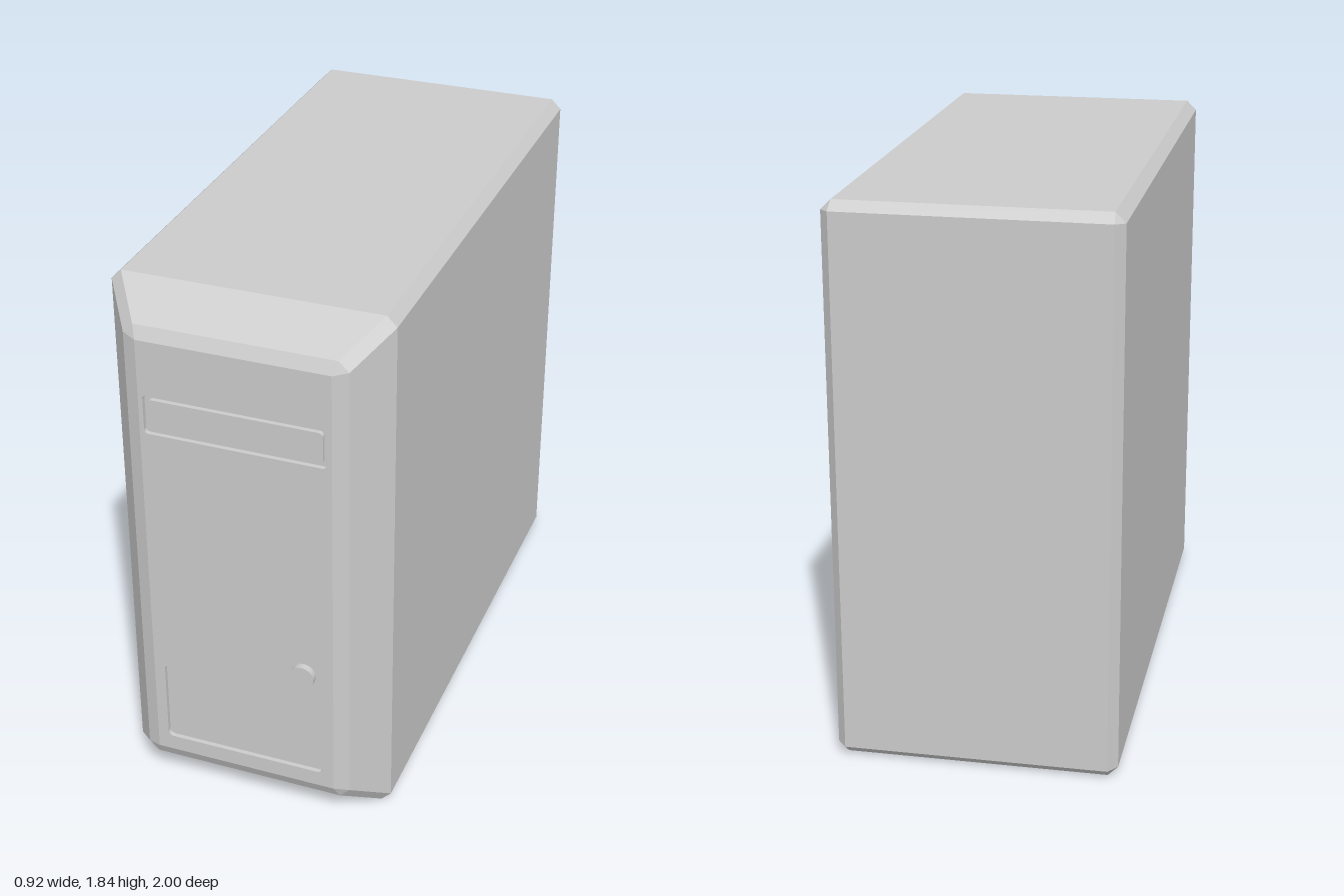
import * as THREE from 'three';

const MID = 0.92; // half of the total height

// Rectangle centred on the case axis with cut corners, anticlockwise from the front
function ring(hw, hh, cut, z) {
  return [
    [hw, -hh + cut], [hw, hh - cut], [hw - cut, hh], [-hw + cut, hh],
    [-hw, hh - cut], [-hw, -hh + cut], [-hw + cut, -hh], [hw - cut, -hh],
  ].map(([x, y]) => new THREE.Vector3(x, y + MID, z));
}

// Joins the rings with faceted sides and closes the first one
function loft(rings) {
  const pos = [];
  const tri = (a, b, c) => {
    const area = b.clone().sub(a).cross(c.clone().sub(a)).length();
    if (area > 1e-7) for (const p of [a, b, c]) pos.push(p.x, p.y, p.z);
  };
  for (let i = 0; i < rings.length - 1; i++) {
    for (let j = 0; j < 8; j++) {
      const k = (j + 1) % 8;
      tri(rings[i][j], rings[i][k], rings[i + 1][k]);
      tri(rings[i][j], rings[i + 1][k], rings[i + 1][j]);
    }
  }
  for (let j = 1; j < 7; j++) tri(rings[0][0], rings[0][j + 1], rings[0][j]);
  const geo = new THREE.BufferGeometry();
  geo.setAttribute('position', new THREE.Float32BufferAttribute(pos, 3));
  geo.computeVertexNormals();
  return geo;
}

// Traces a rounded rectangle into a Shape or Path
function roundRect(path, x0, y0, x1, y1, r) {
  path.moveTo(x0 + r, y0);
  path.lineTo(x1 - r, y0);
  path.absarc(x1 - r, y0 + r, r, -Math.PI / 2, 0);
  path.lineTo(x1, y1 - r);
  path.absarc(x1 - r, y1 - r, r, 0, Math.PI / 2);
  path.lineTo(x0 + r, y1);
  path.absarc(x0 + r, y1 - r, r, Math.PI / 2, Math.PI);
  path.lineTo(x0, y0 + r);
  path.absarc(x0 + r, y0 + r, r, Math.PI, Math.PI * 1.5);
  return path;
}

export function createModel() {
  const group = new THREE.Group();
  const mat = new THREE.MeshStandardMaterial({ color: 0xcccccc });
  const add = (name, geo, z = 0) => {
    const mesh = new THREE.Mesh(geo, mat);
    mesh.name = name;
    mesh.position.z = z;
    group.add(mesh);
    return mesh;
  };
  const FRONT = 0.978, DEPTH = 0.015;
  const extrude = (shape) =>
    new THREE.ExtrudeGeometry(shape, { depth: DEPTH, bevelEnabled: false, curveSegments: 5 });

  // Case shell: bevelled back, straight sides, sloped front
  add('caseShell', loft([
    ring(0.43, 0.89, 0, -1),
    ring(0.46, 0.92, 0.033, -0.967),
    ring(0.46, 0.92, 0.033, 0.82),
    ring(0.362, 0.822, 0.033, 0.957),
    ring(0.315, 0.78, 0, FRONT),
  ]));

  // Front plate with openings for the drive bay and the lower panel
  const plate = new THREE.Shape([
    [-0.315, 0.14], [0.315, 0.14], [0.315, 1.7], [-0.315, 1.7],
  ].map(([x, y]) => new THREE.Vector2(x, y)));
  plate.holes.push(
    roundRect(new THREE.Path(), -0.3, 1.378, 0.3, 1.514, 0.015),
    roundRect(new THREE.Path(), -0.278, 0.195, 0.278, 0.493, 0.02),
  );
  add('frontPlate', extrude(plate), FRONT - DEPTH);

  // Floor behind both openings
  const floor = new THREE.PlaneGeometry(0.62, 1.5);
  floor.translate(0, MID, 0);
  add('recessFloor', floor, FRONT - DEPTH);

  // Drive door filling the bay, with a groove left around it
  add('driveDoor', extrude(roundRect(new THREE.Shape(), -0.286, 1.392, 0.286, 1.5, 0.015)), FRONT - DEPTH);

  // Power button
  const button = new THREE.CylinderGeometry(0.041, 0.041, 0.04, 32);
  button.rotateX(Math.PI / 2);
  button.translate(0.215, 0.588, 0);
  add('powerButton', button, 0.98);

  return group;
}
